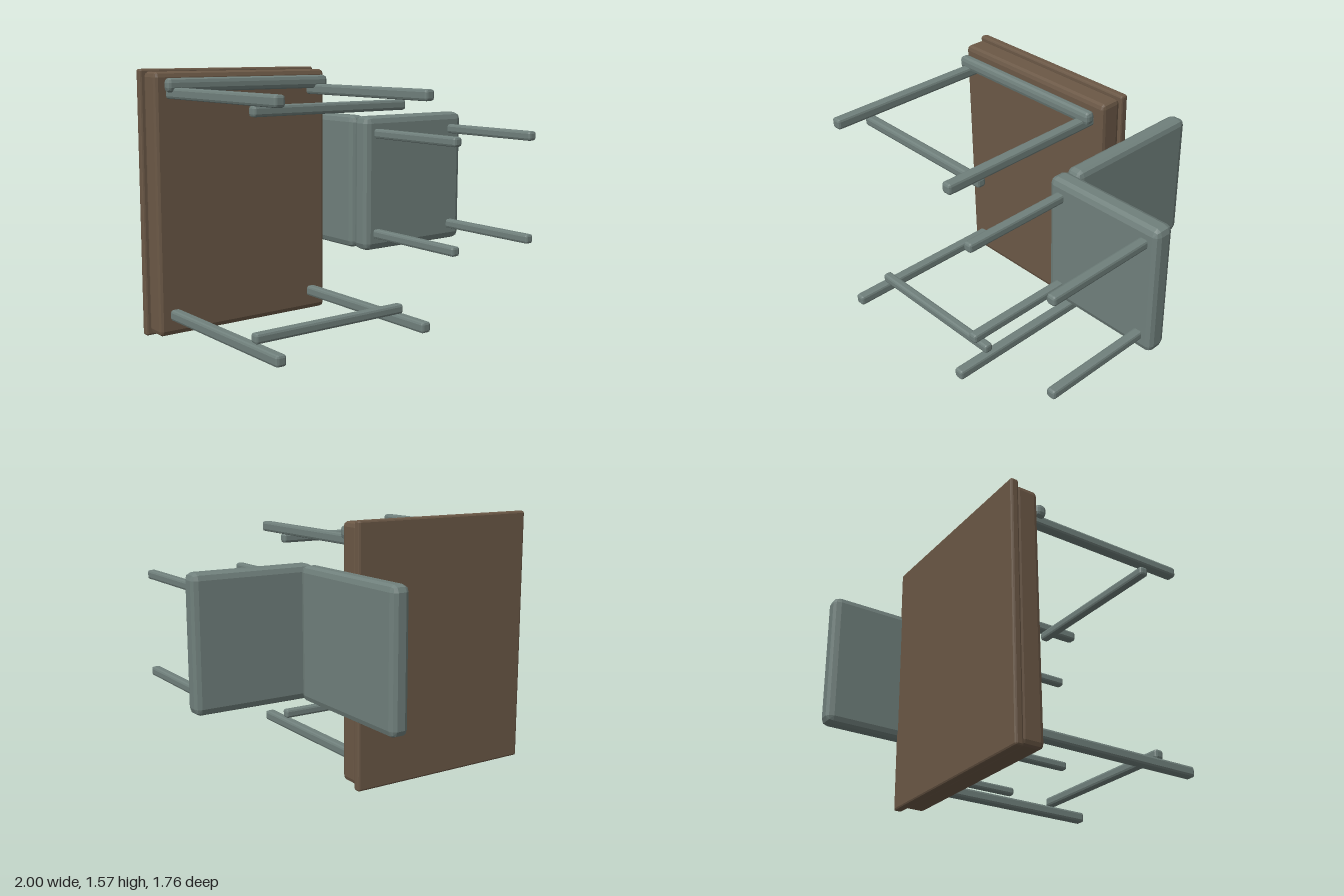
import * as THREE from 'three';
import { ConvexGeometry } from 'three/addons/geometries/ConvexGeometry.js';

const wood = new THREE.MeshStandardMaterial({ color: 0x6b5846 });
wood.name = 'brown wood';
const metal = new THREE.MeshStandardMaterial({ color: 0x70807c });
metal.name = 'grey green';

// Box between two values on each axis, its edges softened by a two-step bevel.
function bevelBox(name, material, x, y, z, bevel) {
  const ranges = [x, y, z];
  const mid = ranges.map(([a, b]) => (a + b) / 2);
  const half = ranges.map(([a, b]) => (b - a) / 2);
  const points = [];
  for (const sx of [-1, 1]) for (const sy of [-1, 1]) for (const sz of [-1, 1]) {
    const signs = [sx, sy, sz];
    for (let bits = 1; bits < 8; bits++) {
      const dir = new THREE.Vector3(bits & 1, (bits >> 1) & 1, bits >> 2).normalize().toArray();
      points.push(new THREE.Vector3(...signs.map((s, i) => s * (half[i] - bevel[i] * (1 - dir[i])))));
    }
  }
  const mesh = new THREE.Mesh(new ConvexGeometry(points), material);
  mesh.name = name;
  mesh.position.set(...mid);
  return mesh;
}

const around = (c, w) => [c - w / 2, c + w / 2];

function createDesk() {
  const desk = new THREE.Group();
  desk.name = 'desk';
  desk.add(bevelBox('deskTop', wood, [-1, 0.225], [0, 1.57], [-0.428, -0.378], [0.012, 0.012, 0.012]));
  desk.add(bevelBox('deskBody', wood, [-0.98, 0.21], [0.02, 1.555], [-0.38, -0.237], [0.02, 0.03, 0.025]));

  // Legs, pointing forward because the desk lies on its side
  for (const y of [0.142, 1.436])
    for (const x of [-0.88, 0.105])
      desk.add(bevelBox('deskLeg', metal, around(x, 0.064), around(y, 0.064), [-0.26, 0.848], [0.015, 0.015, 0.015]));

  // Rail between each pair of legs
  for (const y of [0.204, 1.376])
    desk.add(bevelBox('legRail', metal, [-0.893, 0.118], around(y, 0.058), around(0.61, 0.056), [0.012, 0.015, 0.015]));

  desk.add(bevelBox('upperBar', metal, [-0.943, 0.17], [1.443, 1.522], [-0.21, -0.147], [0.02, 0.026, 0.02]));
  return desk;
}

function createChair() {
  const chair = new THREE.Group();
  chair.name = 'chair';
  chair.add(bevelBox('seat', metal, [0.205, 1], [0.453, 1.277], [0.065, 0.195], [0.036, 0.042, 0.036]));
  chair.add(bevelBox('backrest', metal, [0.205, 0.315], [0.453, 1.277], [-0.883, 0.062], [0.03, 0.04, 0.042]));
  for (const x of [0.292, 0.907])
    for (const y of [0.556, 1.174])
      chair.add(bevelBox('chairLeg', metal, around(x, 0.057), around(y, 0.056), [0.17, 0.88], [0.014, 0.014, 0.014]));
  return chair;
}

export function createModel() {
  const model = new THREE.Group();
  model.name = 'deskAndChair';
  model.add(createDesk(), createChair());
  return model;
}
